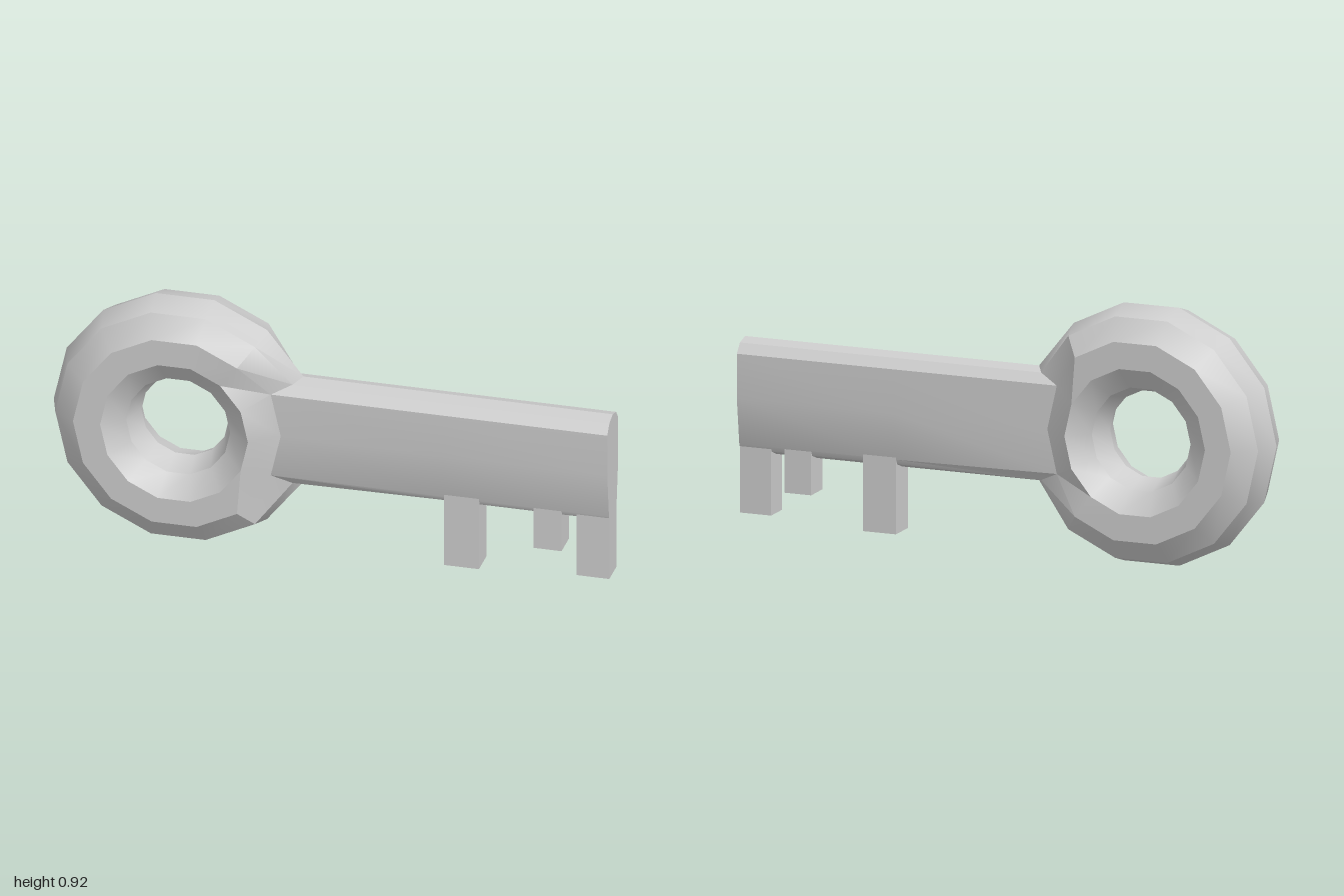
import * as THREE from 'three';
import { toCreasedNormals } from 'three/addons/utils/BufferGeometryUtils.js';

const CX = -0.53, CY = 0.459;      // centre of the ring
const SIDES = 14, RING = 0.313, TUBE = 0.157;
const FLAT = 0.49;                 // how far the ring is pinched where the shaft joins
const CREASE = 0.5;

function addMesh(group, name, geometry) {
  const material = new THREE.MeshStandardMaterial({ color: 0xcccccc });
  const mesh = new THREE.Mesh(toCreasedNormals(geometry, CREASE), material);
  mesh.name = name;
  group.add(mesh);
  return mesh;
}

// Faceted ring, its outer side pinched in z towards the shaft
function ringGeometry() {
  const g = new THREE.TorusGeometry(RING, TUBE, 10, SIDES);
  const p = g.attributes.position;
  for (let i = 0; i < p.count; i++) {
    const x = p.getX(i), y = p.getY(i);
    if (Math.hypot(x, y) > RING && Math.abs(Math.atan2(y, x)) < 0.5) p.setZ(i, p.getZ(i) * FLAT);
  }
  return g.translate(CX, CY, 0);
}

// Closed section from a half outline [x, y, z], top to bottom, on the +z side
function mirrorSection(half) {
  const back = half.slice(1, -1).reverse().map(([x, y, z]) => [x, y, -z]);
  return [...half, ...back];
}

// Skin through the sections, with a cap on the last one
function loft(sections) {
  const n = sections[0].length, index = [];
  const points = sections.flat();
  for (let s = 0; s < sections.length - 1; s++) {
    for (let k = 0; k < n; k++) {
      const a = s * n + k, b = s * n + (k + 1) % n;
      index.push(a, b, b + n, a, b + n, a + n);
    }
  }
  const last = (sections.length - 1) * n;
  for (let k = 1; k < n - 1; k++) index.push(last, last + k, last + k + 1);
  const g = new THREE.BufferGeometry();
  g.setAttribute('position', new THREE.Float32BufferAttribute(points.flat(), 3));
  g.setIndex(index);
  return g;
}

// Shaft: grows out of the ring's own corners, lower edge narrowing to the teeth
function shaftGeometry() {
  const step = 2 * Math.PI / SIDES;
  const corner = (k, u) => {
    const v = k * Math.PI / 5, r = RING + TUBE * Math.cos(v);
    return [CX + r * Math.cos(u), CY + r * Math.sin(u), FLAT * TUBE * Math.sin(v)];
  };
  const start = [
    corner(0, step), corner(1, step), corner(2, step), corner(2, 0),
    corner(2, -step), corner(1, -step), corner(0, -step),
  ];
  const narrow = (x) => start.map(([, y, z], i) => {
    if (i === 4) return [x, 0.29, 0.051];
    if (i === 5) return [x, 0.272, 0.042];
    return [x, y, z];
  });
  return loft([start, narrow(0.41), narrow(1)].map(mirrorSection));
}

export function createModel() {
  const key = new THREE.Group();
  key.name = 'key';

  addMesh(key, 'ring', ringGeometry());
  addMesh(key, 'shaft', shaftGeometry());

  // Teeth: from x, to x, bottom y, depth
  const teeth = [
    [0.41, 0.535, 0.025, 0.104],
    [0.73, 0.83, 0.133, 0.1],
    [0.882, 1, 0.046, 0.094],
  ];
  const top = 0.3;
  teeth.forEach(([x0, x1, y0, depth], i) => {
    const g = new THREE.BoxGeometry(x1 - x0, top - y0, depth);
    g.translate((x0 + x1) / 2, (top + y0) / 2, 0);
    addMesh(key, 'tooth' + (i + 1), g);
  });

  return key;
}
